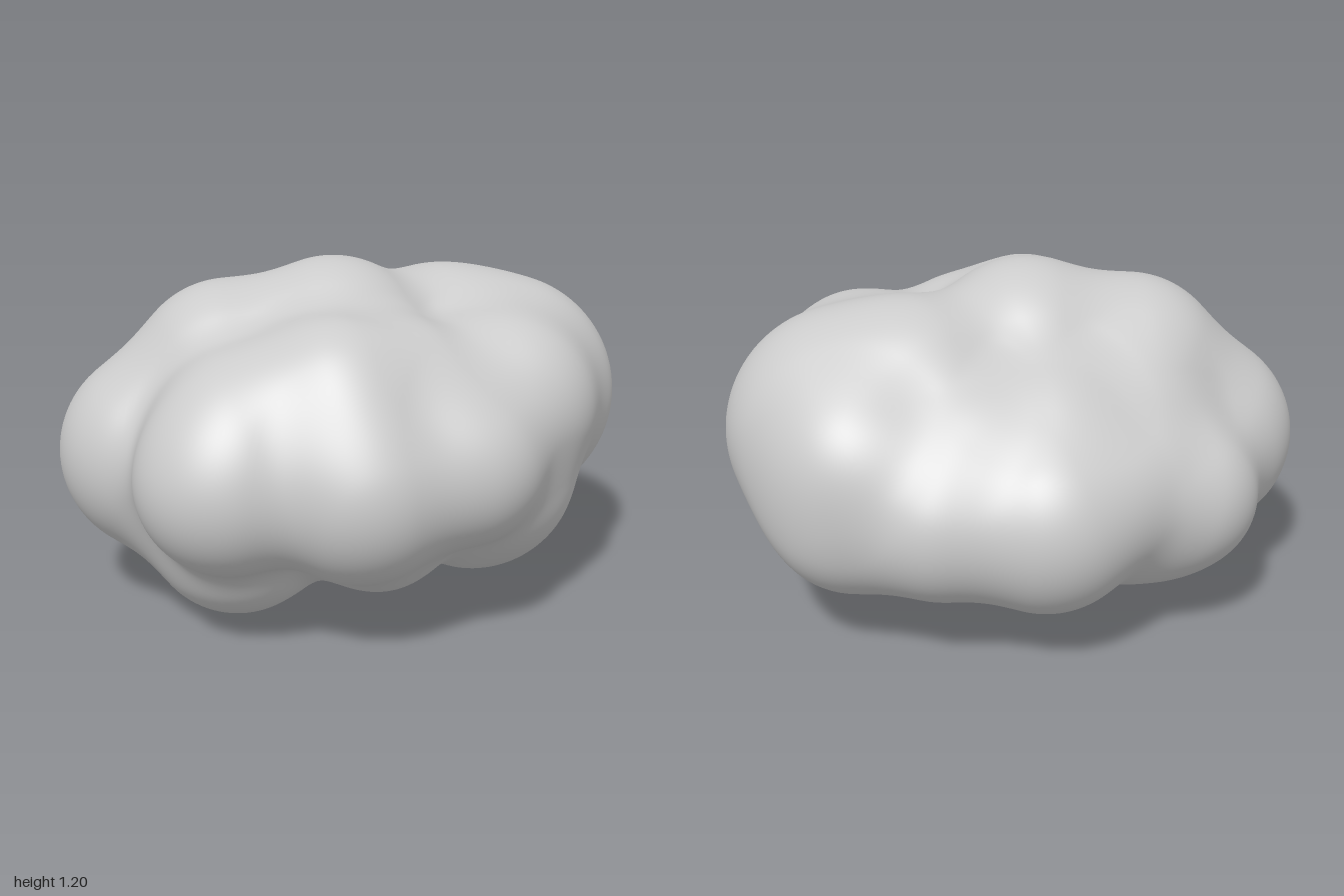
import * as THREE from 'three';
import { mergeVertices } from 'three/addons/utils/BufferGeometryUtils.js';

// Puffs of the cloud: centre x, y, z and radius
const puffs = [
  // core and crown
  [0, 0.6, 0, 0.46], [-0.05, 0.84, 0, 0.36], [-0.4, 0.78, -0.05, 0.35], [0.36, 0.8, -0.12, 0.33],
  // two ends
  [-0.64, 0.54, -0.07, 0.36], [0.58, 0.67, -0.06, 0.42], [0.6, 0.5, -0.28, 0.31],
  // front
  [-0.5, 0.58, 0.42, 0.31], [-0.42, 0.71, 0.36, 0.28], [-0.14, 0.78, 0.4, 0.31],
  [-0.1, 0.57, 0.52, 0.33], [0.12, 0.77, 0.36, 0.27], [0.24, 0.61, 0.5, 0.29],
  [0.48, 0.72, 0.27, 0.32],
  // back
  [-0.46, 0.48, -0.42, 0.28], [-0.3, 0.68, -0.28, 0.28], [-0.22, 0.56, -0.5, 0.24],
  [0.02, 0.5, -0.52, 0.33], [0.35, 0.51, -0.46, 0.29], [-0.02, 0.68, -0.34, 0.29],
  [0.25, 0.66, -0.36, 0.27], [0.6, 0.68, -0.34, 0.25],
  // underside
  [-0.42, 0.32, 0.12, 0.32], [-0.22, 0.32, -0.02, 0.28], [-0.05, 0.33, -0.13, 0.28],
  [0.4, 0.38, 0.15, 0.29], [-0.32, 0.4, -0.36, 0.25], [0.02, 0.37, 0.32, 0.26],
  [0.45, 0.45, 0.29, 0.26],
].map(([x, y, z, r]) => ({ c: new THREE.Vector3(x, y, z), r }));

const BLEND = 0.12;

// Distance to the puffs, softly blended where they meet
function distance(p) {
  let d = 10;
  for (const { c, r } of puffs) {
    const e = p.distanceTo(c) - r;
    const h = Math.max(BLEND - Math.abs(d - e), 0) / BLEND;
    d = Math.min(d, e) - h * h * BLEND * 0.25;
  }
  return d;
}

export function createModel() {
  const group = new THREE.Group();
  group.name = 'cloud';

  // Shrink a fine sphere onto the blended puffs
  let geometry = new THREE.IcosahedronGeometry(1, 44);
  geometry.deleteAttribute('normal');
  geometry.deleteAttribute('uv');
  geometry = mergeVertices(geometry, 1e-5);
  const pos = geometry.attributes.position;
  const centre = new THREE.Vector3(0, 0.6, 0);
  const dir = new THREE.Vector3(), p = new THREE.Vector3();
  for (let i = 0; i < pos.count; i++) {
    dir.fromBufferAttribute(pos, i).normalize();
    let t = 1.4;
    for (let step = 0; step < 80; step++) {
      const d = distance(p.copy(centre).addScaledVector(dir, t));
      t -= d * 0.9;
      if (Math.abs(d) < 0.0005) break;
    }
    p.copy(centre).addScaledVector(dir, t);
    pos.setXYZ(i, p.x, p.y, p.z);
  }
  geometry.computeVertexNormals();

  const body = new THREE.Mesh(geometry, new THREE.MeshStandardMaterial({ color: 0xcccccc }));
  body.name = 'cloudBody';
  group.add(body);
  return group;
}
